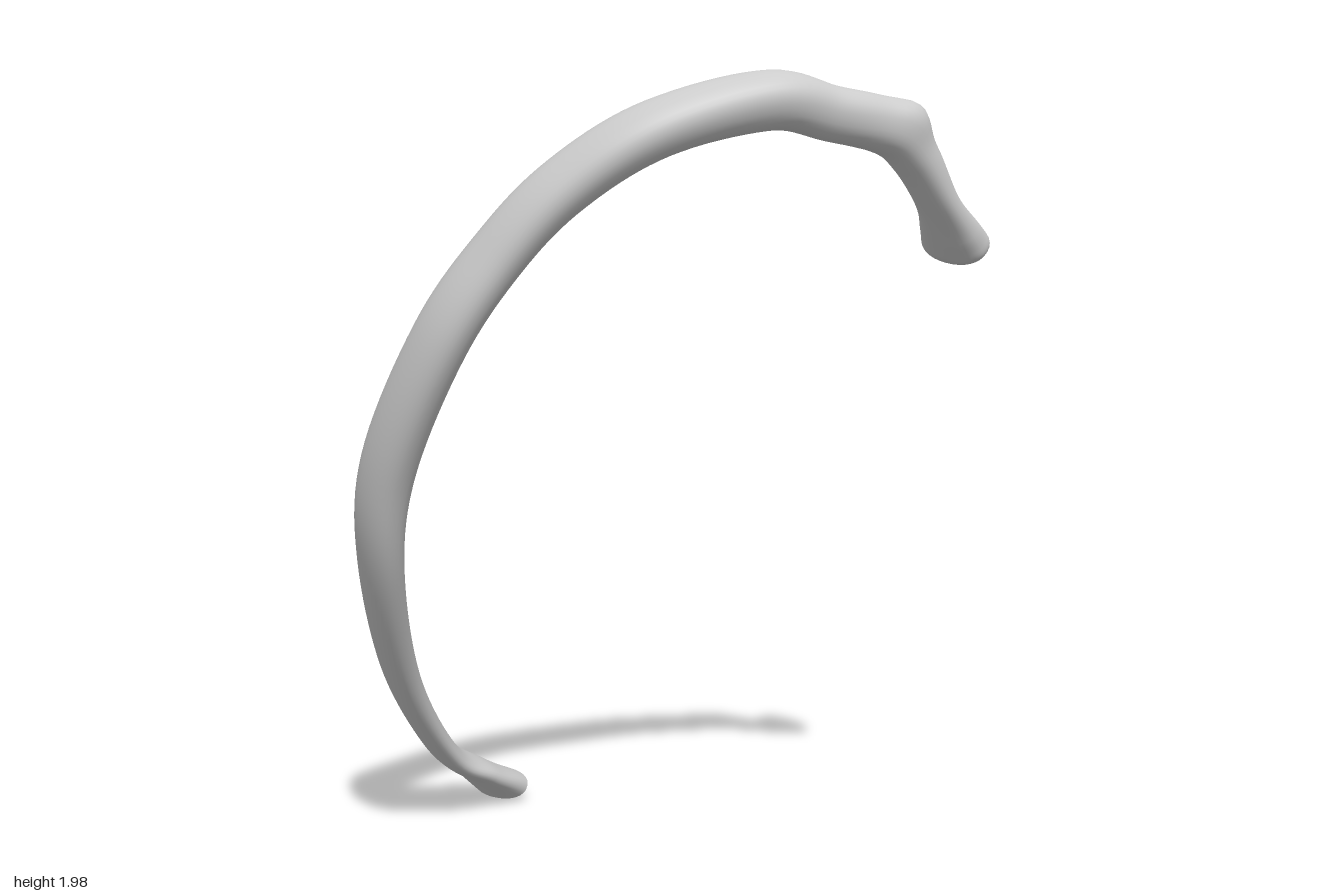
import * as THREE from 'three';

// Stations from the flat front end to the rounded head:
// centre x, y, z, then half width, half thickness, tilt of the wide axis
const STATIONS = [
  [0.035, 0.055, -0.595, 0.098, 0.046, 0.25],
  [-0.06, 0.12, -0.57, 0.1, 0.036, 0.05],
  [-0.2, 0.225, -0.53, 0.098, 0.032, -0.2],
  [-0.4, 0.5, -0.385, 0.09, 0.04, -0.45],
  [-0.55, 0.84, -0.2, 0.088, 0.048, -0.55],
  [-0.587, 1.1, -0.08, 0.084, 0.055, -0.55],
  [-0.545, 1.4, 0.095, 0.08, 0.053, -0.55],
  [-0.45, 1.6, 0.205, 0.074, 0.052, -0.55],
  [-0.34, 1.745, 0.3, 0.073, 0.055, -0.5],
  [-0.18, 1.865, 0.415, 0.072, 0.058, -0.45],
  [0.05, 1.93, 0.52, 0.068, 0.064, -0.4],
  [0.2, 1.905, 0.565, 0.06, 0.062, -0.3],
  [0.34, 1.875, 0.605, 0.06, 0.062, -0.1],
  [0.42, 1.81, 0.615, 0.058, 0.05, 0],
  [0.5, 1.71, 0.612, 0.058, 0.037, 0],
  [0.57, 1.645, 0.59, 0.078, 0.05, 0],
  [0.628, 1.595, 0.565, 0.095, 0.064, 0],
];
const ROWS = 160, SIDES = 32;

// Small knob raised on the outer side of the angle before the neck
const KNOB = new THREE.Vector3(0.39, 1.915, 0.66);

function shaftGeometry() {
  const path = new THREE.CatmullRomCurve3(STATIONS.map(s => new THREE.Vector3(s[0], s[1], s[2])));
  const section = new THREE.CatmullRomCurve3(STATIONS.map(s => new THREE.Vector3(s[3], s[4], s[5])));
  // The section curve is sampled by station index, in step with the path
  path.curveType = section.curveType = 'catmullrom';
  const pos = [], index = [];
  for (let i = 0; i <= ROWS; i++) {
    const t = i / ROWS;
    // Rows bunch up towards the head so that it closes smoothly
    const u = t < 0.85 ? t * 0.96 / 0.85 : 0.96 + 0.04 * Math.sin((t - 0.85) / 0.15 * Math.PI / 2);
    const c = path.getPoint(u), s = section.getPoint(u), T = path.getTangent(u);
    const W = new THREE.Vector3(0, s.z, Math.sqrt(1 - s.z * s.z));
    W.addScaledVector(T, -W.dot(T)).normalize();
    const V = new THREE.Vector3().crossVectors(T, W);
    const end = Math.max(0, (u - 0.96) / 0.04);
    const close = Math.pow(Math.max(0, 1 - end ** 3), 0.5);
    for (let j = 0; j < SIDES; j++) {
      const a = j / SIDES * Math.PI * 2;
      const soft = v => Math.sign(v) * Math.pow(Math.abs(v), 0.9);
      const p = c.clone()
        .addScaledVector(W, soft(Math.cos(a)) * s.x * close)
        .addScaledVector(V, soft(Math.sin(a)) * s.y * close);
      const bump = 0.024 * Math.exp(-p.distanceToSquared(KNOB) / 0.0028);
      if (close > 0) p.addScaledVector(p.clone().sub(c).normalize(), bump);
      pos.push(p.x, Math.max(p.y, 0), p.z);
    }
  }
  for (let i = 0; i < ROWS; i++) for (let j = 0; j < SIDES; j++) {
    const a = i * SIDES + j, b = i * SIDES + (j + 1) % SIDES;
    index.push(a, b, b + SIDES, a, b + SIDES, a + SIDES);
  }
  const g = new THREE.BufferGeometry();
  g.setAttribute('position', new THREE.Float32BufferAttribute(pos, 3));
  g.setIndex(index);
  g.computeVertexNormals();
  return g;
}

// Flat face closing the front end, sharing the first ring's outline
function endFaceGeometry(shaft) {
  const ring = Array.from(shaft.attributes.position.array.slice(0, SIDES * 3));
  const mid = [0, 1, 2].map(k => ring.reduce((sum, v, n) => sum + (n % 3 === k ? v : 0), 0) / SIDES);
  const index = [];
  for (let j = 0; j < SIDES; j++) index.push(SIDES, (j + 1) % SIDES, j);
  const g = new THREE.BufferGeometry();
  g.setAttribute('position', new THREE.Float32BufferAttribute([...ring, ...mid], 3));
  g.setIndex(index);
  g.computeVertexNormals();
  return g;
}

export function createModel() {
  const group = new THREE.Group();
  group.name = 'ribBone';
  const material = new THREE.MeshStandardMaterial({ color: 0xcccccc });
  const shaft = new THREE.Mesh(shaftGeometry(), material);
  shaft.name = 'ribShaft';
  const face = new THREE.Mesh(endFaceGeometry(shaft.geometry), material);
  face.name = 'frontEndFace';
  group.add(shaft, face);
  return group;
}
